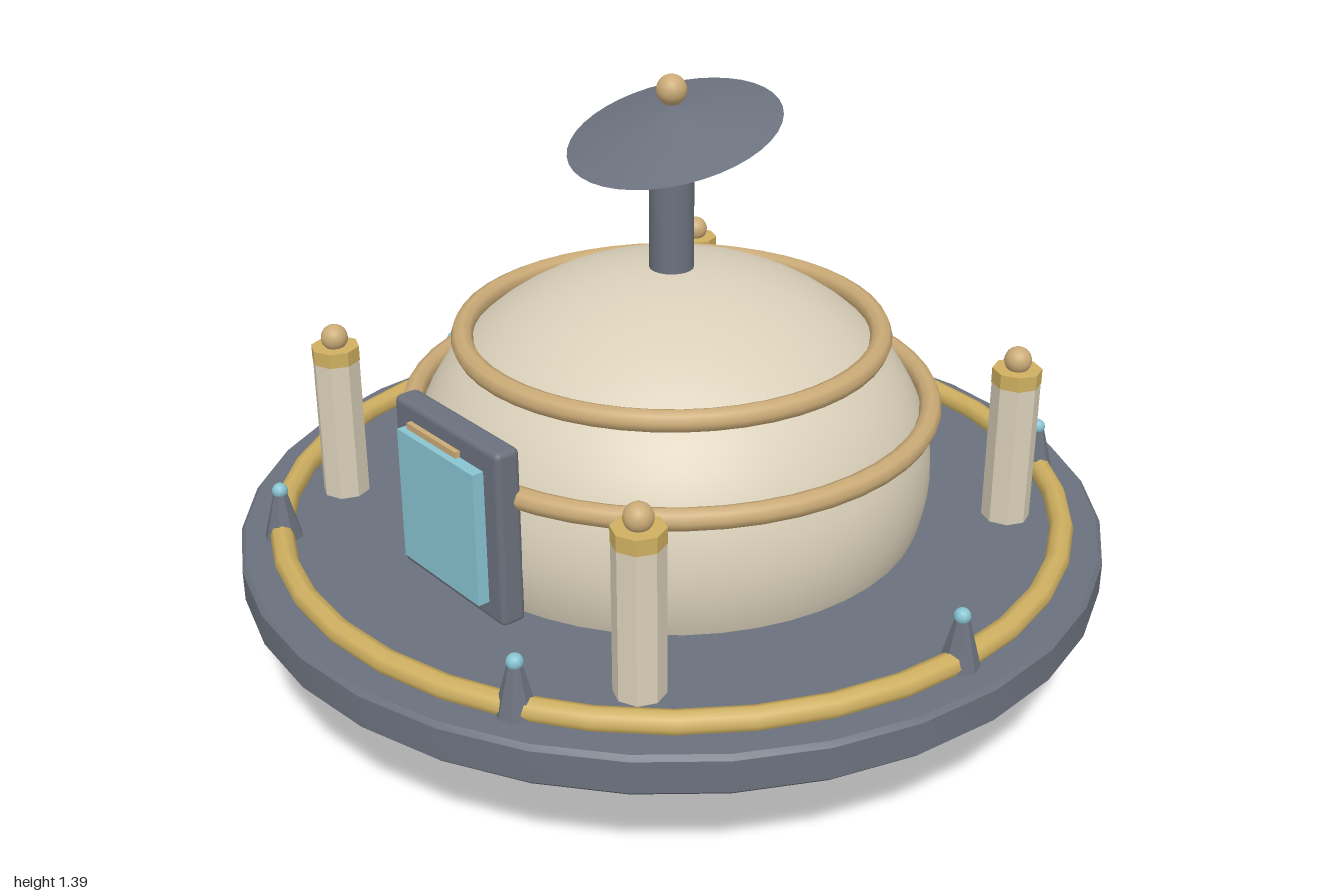
import * as THREE from 'three';
import { toCreasedNormals } from 'three/addons/utils/BufferGeometryUtils.js';
import { RoundedBoxGeometry } from 'three/addons/geometries/RoundedBoxGeometry.js';

function material(name, color) {
  const m = new THREE.MeshStandardMaterial({ color });
  m.name = name;
  return m;
}

export function createModel() {
  const model = new THREE.Group();
  model.name = 'domedStation';

  const slate = material('slate', 0x6b717d);
  const ivory = material('ivory', 0xd9cfb9);
  const gold = material('gold', 0xcfb061);
  const bronze = material('bronze', 0xcbab77);
  const cyan = material('cyan', 0x88c4d1);

  function add(name, geometry, mat, x = 0, y = 0, z = 0, parent = model) {
    const mesh = new THREE.Mesh(geometry, mat);
    mesh.name = name;
    mesh.position.set(x, y, z);
    parent.add(mesh);
    return mesh;
  }

  function ring(name, radius, tube, y, mat, segments) {
    const geometry = new THREE.TorusGeometry(radius, tube, 8, segments);
    geometry.rotateX(Math.PI / 2);
    return add(name, geometry, mat, 0, y, 0);
  }

  // Main body
  const body = new THREE.SphereGeometry(1, 48, 32);
  body.scale(0.6, 0.475, 0.6);
  add('body', body, ivory, 0, 0.479, 0);

  // Platform with a small bevel on its rim
  const profile = [[0, 0.264], [0.99, 0.264], [1, 0.274], [1, 0.346], [0.99, 0.356], [0, 0.356]]
    .map(([r, y]) => new THREE.Vector2(r, y));
  add('platform', toCreasedNormals(new THREE.LatheGeometry(profile, 32), 0.5), slate);

  // Rings on the platform and body
  ring('platformRail', 0.905, 0.027, 0.37, gold, 36);
  ring('lowerBodyRing', 0.592, 0.025, 0.64, bronze, 48);
  ring('upperBodyRing', 0.473, 0.025, 0.802, bronze, 48);

  // Six beacons along the rail
  const spike = toCreasedNormals(new THREE.CylinderGeometry(0.014, 0.045, 0.12, 8), 0.4);
  const tip = new THREE.SphereGeometry(0.018, 12, 8);
  for (let i = 0; i < 6; i++) {
    const beacon = new THREE.Group();
    beacon.name = 'beacon';
    const a = i * Math.PI / 3;
    beacon.position.set(0.9 * Math.cos(a), 0, 0.9 * Math.sin(a));
    add('beaconSpike', spike, slate, 0, 0.412, 0, beacon);
    add('beaconLight', tip, cyan, 0, 0.472, 0, beacon);
    model.add(beacon);
  }

  // Four corner pillars
  const shaft = toCreasedNormals(new THREE.CylinderGeometry(0.055, 0.055, 0.355, 8), 0.4);
  const cap = toCreasedNormals(new THREE.CylinderGeometry(0.056, 0.056, 0.035, 8), 0.4);
  const ball = new THREE.SphereGeometry(0.031, 20, 14);
  for (const x of [-0.552, 0.552]) {
    for (const z of [-0.552, 0.552]) {
      const pillar = new THREE.Group();
      pillar.name = 'pillar';
      pillar.position.set(x, 0, z);
      add('pillarShaft', shaft, ivory, 0, 0.525, 0, pillar);
      add('pillarCap', cap, gold, 0, 0.713, 0, pillar);
      add('pillarBall', ball, bronze, 0, 0.751, 0, pillar);
      model.add(pillar);
    }
  }

  // Entrance
  add('doorFrame', new RoundedBoxGeometry(0.38, 0.41, 0.06, 2, 0.014), slate, 0, 0.555, 0.593);
  add('doorPanel', new THREE.BoxGeometry(0.28, 0.31, 0.04), cyan, 0, 0.55, 0.63);
  add('doorStrip', new THREE.BoxGeometry(0.18, 0.014, 0.012), bronze, 0, 0.733, 0.65);

  // Mast, tilted shallow dish and finial
  add('mast', new THREE.CylinderGeometry(0.05, 0.05, 0.36, 20), slate, 0, 1.1, 0);
  const dish = add('dish', toCreasedNormals(new THREE.ConeGeometry(0.24, 0.06, 40), 0.4),
    slate, 0, 1.292, 0);
  dish.rotation.x = 0.275;
  add('finial', new THREE.SphereGeometry(0.034, 20, 14), bronze, 0, 1.358, 0);

  return model;
}
